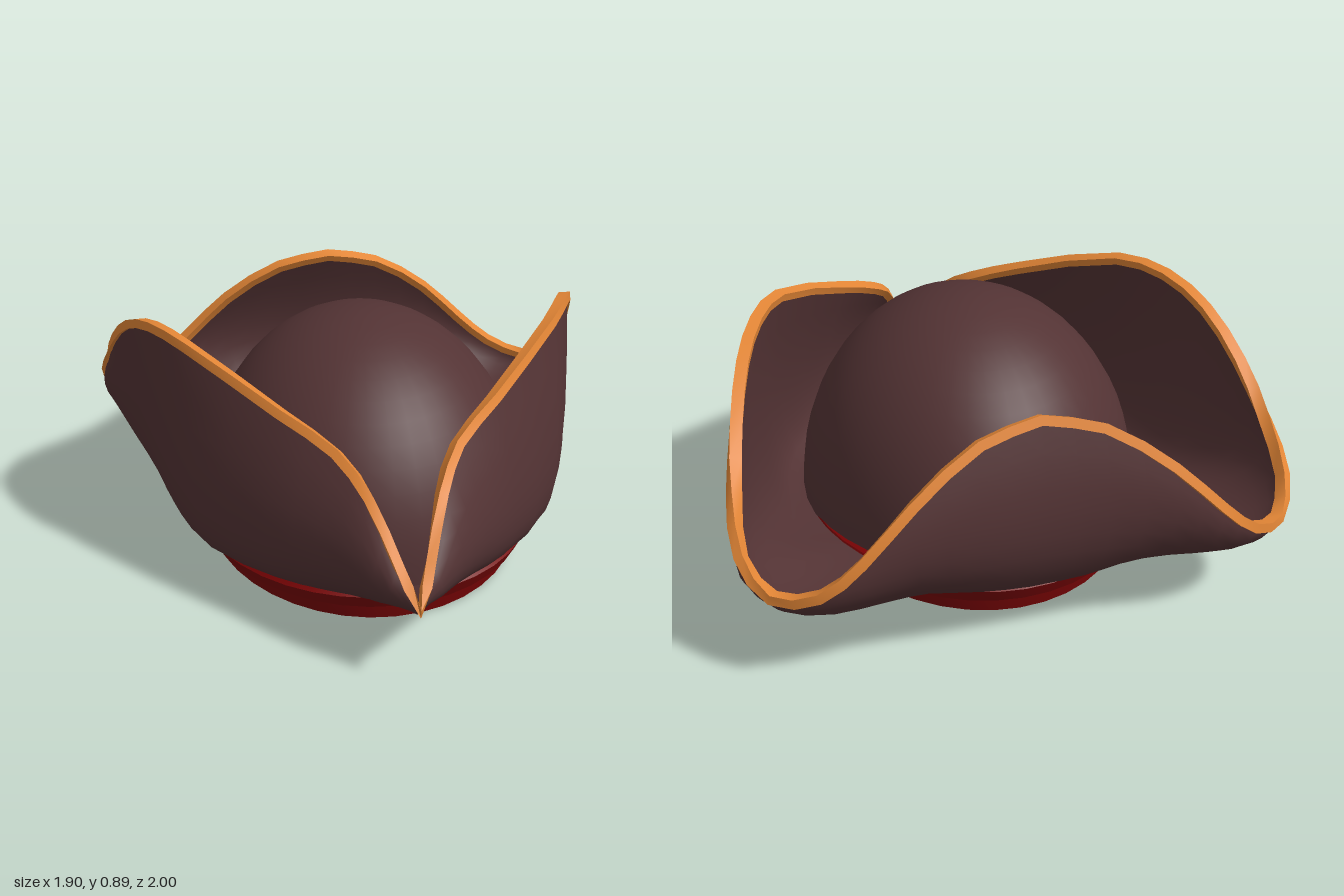
import * as THREE from 'three';
import { toCreasedNormals } from 'three/addons/utils/BufferGeometryUtils.js';

const CROWN = { rx: 0.6, rz: 0.69, z: -0.065, base: 0.14, height: 0.74 };

// Half of the brim, front tip to back centre: rim x, y, z, then belly x, y, z
const STATIONS = [
  [0, 0.28, 0.985, 0, 0.215, 0.89],
  [0.05, 0.39, 0.885, 0.095, 0.265, 0.885],
  [0.115, 0.555, 0.745, 0.185, 0.31, 0.81],
  [0.20, 0.655, 0.60, 0.29, 0.33, 0.69],
  [0.36, 0.74, 0.45, 0.43, 0.33, 0.54],
  [0.64, 0.87, 0.14, 0.645, 0.31, 0.28],
  [0.75, 0.875, -0.06, 0.73, 0.30, 0.06],
  [0.825, 0.815, -0.25, 0.775, 0.30, -0.15],
  [0.88, 0.69, -0.44, 0.83, 0.30, -0.37],
  [0.915, 0.54, -0.60, 0.875, 0.31, -0.58],
  [0.92, 0.40, -0.75, 0.855, 0.25, -0.72],
  [0.85, 0.32, -0.875, 0.75, 0.205, -0.80],
  [0.715, 0.36, -0.965, 0.635, 0.225, -0.88],
  [0.585, 0.47, -0.985, 0.53, 0.28, -0.935],
  [0.42, 0.63, -0.96, 0.40, 0.34, -0.96],
  [0.20, 0.775, -0.905, 0.20, 0.37, -0.97],
  [0, 0.82, -0.88, 0, 0.38, -0.97],
];

// Smooth closed loop through one set of station points, mirrored across x
function mirroredLoop(offset) {
  const curve = new THREE.CatmullRomCurve3(
    STATIONS.map((s) => new THREE.Vector3(s[offset], s[offset + 1], s[offset + 2])));
  const half = curve.getPoints((STATIONS.length - 1) * 2);
  const other = half.slice(1, -1).reverse().map((p) => new THREE.Vector3(-p.x, p.y, p.z));
  return [...half, ...other];
}

// Brim sections: each curves from the crown base, through the belly, to the rim
function brimSections() {
  const belly = mirroredLoop(3);
  return mirroredLoop(0).map((rim, i) => {
    const b = belly[i];
    const a = Math.atan2(b.x / CROWN.rx, (b.z - CROWN.z) / CROWN.rz);
    const inner = new THREE.Vector3(
      CROWN.rx * Math.sin(a), 0.125, CROWN.z + CROWN.rz * Math.cos(a));
    const control = b.clone().multiplyScalar(2).addScaledVector(inner, -0.5).addScaledVector(rim, -0.5);
    return new THREE.QuadraticBezierCurve3(inner, control, rim);
  });
}

// Binding strip corners along the brim edge, wider towards the inside
function trimRings(sections) {
  const n = sections.length;
  return sections.map((section, i) => {
    const rim = section.v2;
    const along = sections[(i + 1) % n].v2.clone().sub(sections[(i + n - 1) % n].v2).normalize();
    const out = along.clone().cross(section.getTangent(1)).normalize();
    const up = out.clone().cross(along);
    return [[0.012, -0.02], [0.012, 0.012], [-0.028, 0.012], [-0.028, -0.016], [0.012, -0.02]]
      .map(([o, u]) => rim.clone().addScaledVector(out, o).addScaledVector(up, u));
  });
}

// Surface through a closed loop of equal-length point rows
function loft(rows) {
  const m = rows[0].length;
  const index = [];
  rows.forEach((row, i) => {
    for (let j = 0; j < m - 1; j++) {
      const p = i * m + j;
      const q = ((i + 1) % rows.length) * m + j;
      index.push(p, q, p + 1, q, q + 1, p + 1);
    }
  });
  const geometry = new THREE.BufferGeometry().setFromPoints(rows.flat());
  geometry.setIndex(index);
  geometry.computeVertexNormals();
  return geometry;
}

// Copy of a surface moved inwards along its normals
function insetSurface(geometry, depth) {
  const inset = geometry.clone();
  const pos = inset.attributes.position;
  const nor = inset.attributes.normal;
  for (let i = 0; i < pos.count; i++) {
    pos.setXYZ(i, pos.getX(i) - nor.getX(i) * depth,
      pos.getY(i) - nor.getY(i) * depth, pos.getZ(i) - nor.getZ(i) * depth);
  }
  return inset;
}

// Half ellipsoid, slightly drawn in at the two back quarters
function crownGeometry() {
  const geometry = new THREE.SphereGeometry(1, 40, 14, 0, Math.PI * 2, 0, Math.PI / 2);
  const pos = geometry.attributes.position;
  for (let i = 0; i < pos.count; i++) {
    const x = pos.getX(i);
    const z = pos.getZ(i);
    const draw = z < 0 ? 1 - 0.2 * x * x * z * z : 1;
    pos.setXYZ(i, x * draw, pos.getY(i), z * draw);
  }
  geometry.scale(0.607, CROWN.height, 0.703);
  geometry.translate(0, CROWN.base, CROWN.z);
  geometry.computeVertexNormals();
  return toCreasedNormals(geometry, 1);
}

// Oval ring or dome from a radius/height profile, with its lower edge arched at the sides
function ovalLathe(profile) {
  const geometry = new THREE.LatheGeometry(profile.map(([r, y]) => new THREE.Vector2(r, y)), 40);
  const pos = geometry.attributes.position;
  for (let i = 0; i < pos.count; i++) {
    const x = pos.getX(i);
    const y = pos.getY(i);
    const arch = 0.033 * x * x * THREE.MathUtils.clamp((0.12 - y) / 0.12, 0, 1);
    pos.setXYZ(i, x * CROWN.rx, y + arch, CROWN.z + pos.getZ(i) * CROWN.rz);
  }
  return toCreasedNormals(geometry, 0.6);
}

export function createModel() {
  const felt = new THREE.MeshStandardMaterial({ color: 0x533334, side: THREE.DoubleSide });
  felt.name = 'brown felt';
  const cloth = new THREE.MeshStandardMaterial({ color: 0x780304, side: THREE.DoubleSide });
  cloth.name = 'red cloth';
  const braid = new THREE.MeshStandardMaterial({ color: 0xe38636 });
  braid.name = 'orange braid';

  const hat = new THREE.Group();
  hat.name = 'tricornHat';
  const add = (name, geometry, material) => {
    const mesh = new THREE.Mesh(geometry, material);
    mesh.name = name;
    hat.add(mesh);
  };

  // Domed crown
  add('crown', crownGeometry(), felt);

  // Upturned brim with its two felt faces and bound edge
  const sections = brimSections();
  const brim = loft(sections.map((s) => s.getPoints(10)));
  add('brimOuter', brim, felt);
  add('brimInner', insetSurface(brim, 0.018), felt);
  add('brimTrim', toCreasedNormals(loft(trimRings(sections)), 0.8), braid);

  // Lining close under the crown
  const lining = [];
  for (let i = 0; i <= 12; i++) {
    const a = (i / 12) * Math.PI / 2;
    lining.push([0.96 * Math.sin(a), 0.13 + 0.725 * Math.cos(a)]);
  }
  lining.push([0.935, 0.004]);
  add('lining', ovalLathe(lining), cloth);

  // Two-tier head band
  add('headBand', ovalLathe([
    [0.935, 0.004], [0.95, 0.004], [0.967, 0.07], [1.005, 0.072],
    [1.036, 0.122], [1.01, 0.138], [1.0, 0.15], [0.92, 0.155],
  ]), cloth);

  return hat;
}
